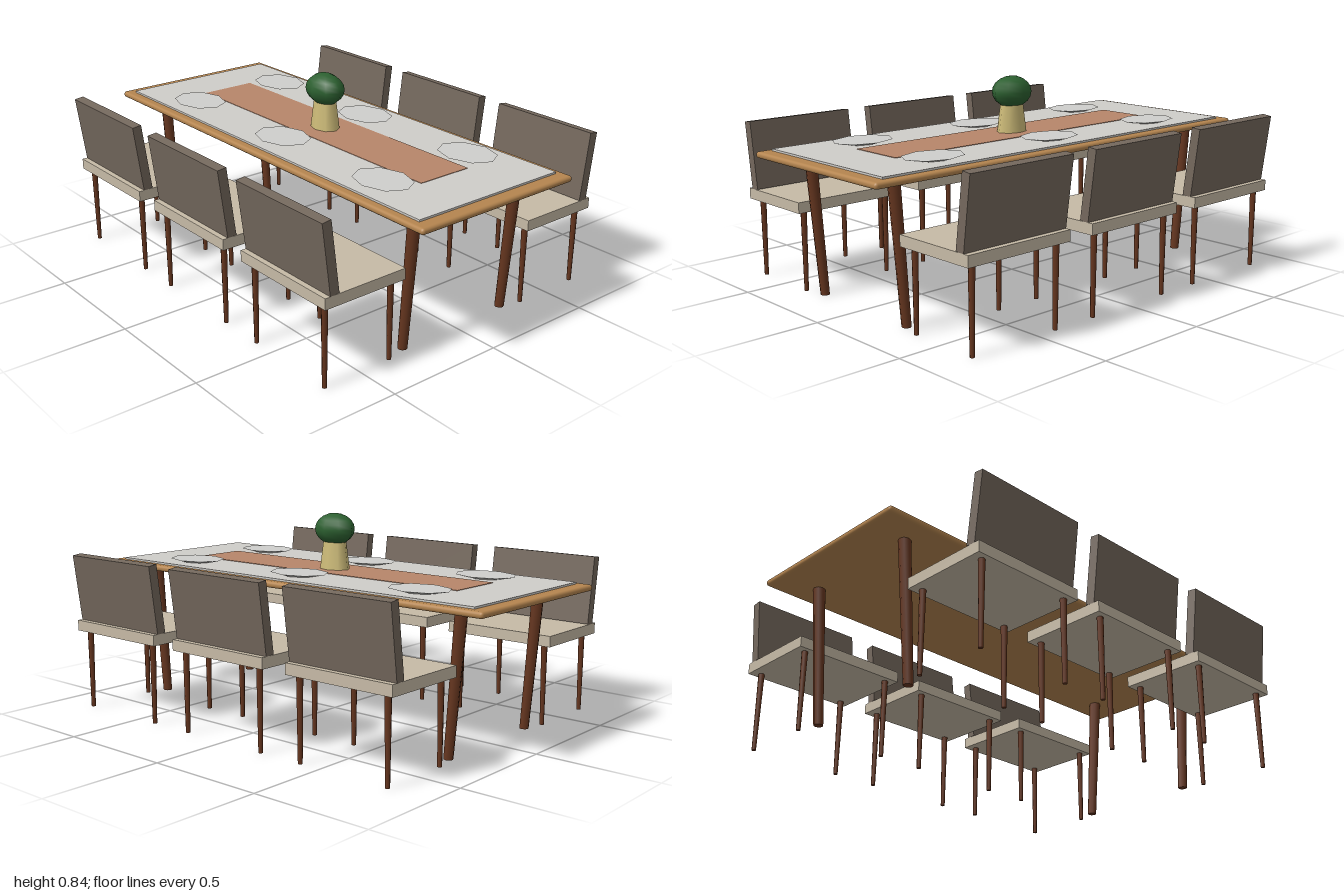
import * as THREE from 'three';
import { RoundedBoxGeometry } from 'three/addons/geometries/RoundedBoxGeometry.js';

const material = (name, color) => {
  const m = new THREE.MeshStandardMaterial({ color });
  m.name = name;
  return m;
};

export function createModel() {
  const wood = material('oak', 0xb5854f);
  const darkWood = material('dark wood', 0x66361f);
  const linen = material('linen', 0xcfcdc9);
  const terracotta = material('terracotta', 0xb7866a);
  const china = material('china', 0xcfcfcc);
  const cushion = material('cushion', 0xc6baa6);
  const fabric = material('back fabric', 0x74685d);
  const clay = material('vase yellow', 0xcdbb78);
  const leaf = material('leaf green', 0x2c6030);

  const model = new THREE.Group();
  model.name = 'diningSet';

  const add = (parent, name, geometry, mat, x, y, z) => {
    const mesh = new THREE.Mesh(geometry, mat);
    mesh.name = name;
    mesh.position.set(x, y, z);
    parent.add(mesh);
    return mesh;
  };

  // Table
  const table = new THREE.Group();
  table.name = 'table';
  model.add(table);
  add(table, 'tableTop', new RoundedBoxGeometry(2, 0.026, 0.78, 2, 0.012), wood, 0, 0.585, 0);
  add(table, 'tablecloth', new THREE.BoxGeometry(1.89, 0.008, 0.71), linen, 0, 0.602, 0);
  add(table, 'runner', new THREE.BoxGeometry(1.42, 0.003, 0.244), terracotta, 0, 0.6065, 0);

  // Table legs spread outwards towards the top, with level ends
  for (const sx of [-1, 1]) {
    const leg = new THREE.CylinderGeometry(0.025, 0.019, 0.574, 8);
    const shear = new THREE.Matrix4().makeShear(0, 0, sx * 0.08, 0, 0, 0);
    leg.applyMatrix4(shear);
    for (const sz of [-1, 1]) add(table, 'tableLeg', leg, darkWood, sx * 0.807, 0.287, sz * 0.265);
  }

  // Plates: flared, oval, eight-sided
  const plate = new THREE.CylinderGeometry(0.102, 0.062, 0.012, 8);
  plate.scale(1.32, 1, 1);
  for (const x of [-0.61, 0, 0.61]) {
    for (const z of [-0.222, 0.222]) add(table, 'plate', plate, china, x, 0.612, z);
  }

  // Centrepiece
  const vase = new THREE.CylinderGeometry(0.04, 0.053, 0.125, 8);
  vase.scale(1.33, 1, 1);
  add(table, 'vase', vase, clay, 0, 0.67, 0);
  const bush = new THREE.SphereGeometry(0.071, 8, 10);
  bush.scale(1.33, 0.94, 1);
  add(table, 'bush', bush, leaf, 0, 0.776, 0);

  // Chairs, built with the back towards +z and turned for the far side
  const seat = new THREE.BoxGeometry(0.492, 0.045, 0.37);
  const back = new THREE.BoxGeometry(0.492, 0.285, 0.04);
  const chairLeg = new THREE.CylinderGeometry(0.013, 0.009, 0.336, 8);
  const makeChair = () => {
    const chair = new THREE.Group();
    chair.name = 'chair';
    add(chair, 'seat', seat, cushion, 0, 0.357, 0);
    add(chair, 'backrest', back, fabric, 0, 0.521, 0.16).rotation.x = 0.127;
    for (const x of [-0.203, 0.203]) {
      for (const z of [-0.153, 0.153]) add(chair, 'chairLeg', chairLeg, darkWood, x, 0.168, z);
    }
    return chair;
  };
  for (const x of [-0.608, 0, 0.608]) {
    for (const side of [-1, 1]) {
      const chair = makeChair();
      chair.position.set(x, 0, side * 0.511);
      if (side < 0) chair.rotation.y = Math.PI;
      model.add(chair);
    }
  }

  return model;
}
